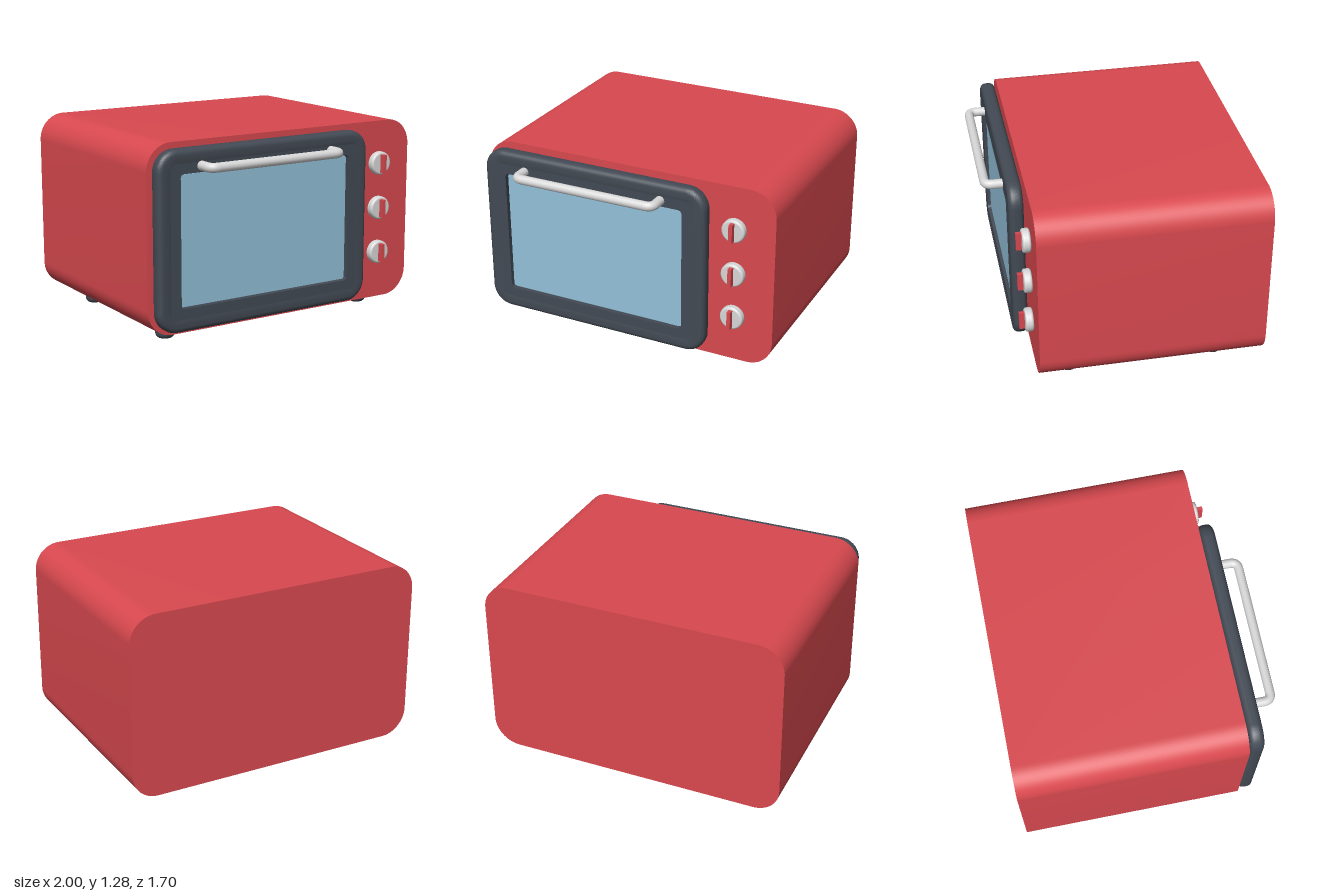
import * as THREE from 'three';
import { toCreasedNormals } from 'three/addons/utils/BufferGeometryUtils.js';

const red = new THREE.MeshStandardMaterial({ name: 'red enamel', color: 0xd9494f });
const dark = new THREE.MeshStandardMaterial({ name: 'dark grey', color: 0x434a54 });
const glass = new THREE.MeshStandardMaterial({ name: 'blue glass', color: 0x93c1da });
const metal = new THREE.MeshStandardMaterial({ name: 'light metal', color: 0xd8d8d8 });

// Rounded rectangle traced into a Shape or Path
function roundRect(path, x0, y0, x1, y1, r) {
  const q = Math.PI / 2;
  path.moveTo(x0 + r, y0);
  path.lineTo(x1 - r, y0);
  path.absarc(x1 - r, y0 + r, r, -q, 0);
  path.lineTo(x1, y1 - r);
  path.absarc(x1 - r, y1 - r, r, 0, q);
  path.lineTo(x0 + r, y1);
  path.absarc(x0 + r, y1 - r, r, q, 2 * q);
  path.lineTo(x0, y0 + r);
  path.absarc(x0 + r, y0 + r, r, 2 * q, 3 * q);
  return path;
}

// Extrusion between z0 and z1, with an optional rounded bevel
function slab(shape, z0, z1, bevel = 0) {
  const geometry = new THREE.ExtrudeGeometry(shape, {
    depth: z1 - z0 - 2 * bevel, curveSegments: 12,
    bevelEnabled: bevel > 0, bevelThickness: bevel, bevelSize: bevel, bevelSegments: 6,
  });
  geometry.translate(0, 0, z0 + bevel);
  return toCreasedNormals(geometry, 0.6);
}

// Short cylinder with rounded rims, standing on y = 0
function roundedDisc(radius, height, r) {
  const points = [new THREE.Vector2(0, 0)];
  for (let i = 0; i <= 6; i++) {
    const a = (i / 6) * Math.PI / 2;
    points.push(new THREE.Vector2(radius - r + r * Math.sin(a), r - r * Math.cos(a)));
  }
  for (let i = 0; i <= 6; i++) {
    const a = (i / 6) * Math.PI / 2;
    points.push(new THREE.Vector2(radius - r + r * Math.cos(a), height - r + r * Math.sin(a)));
  }
  points.push(new THREE.Vector2(0, height));
  return new THREE.LatheGeometry(points, 32);
}

export function createModel() {
  const model = new THREE.Group();
  model.name = 'toasterOven';
  const add = (name, geometry, material, parent = model) => {
    const mesh = new THREE.Mesh(geometry, material);
    mesh.name = name;
    parent.add(mesh);
    return mesh;
  };

  // Housing
  add('housing', slab(roundRect(new THREE.Shape(), -1, 0.085, 1, 1.28, 0.17), -0.85, 0.605), red);

  // Door: rounded outer rim, flat inner frame and recessed window
  const door = new THREE.Group();
  door.name = 'door';
  model.add(door);
  const [x0, y0, x1, y1] = [-0.98, 0.12, 0.58, 1.25];
  const inset = (path, d, r) => roundRect(path, x0 + d, y0 + d, x1 - d, y1 - d, r);
  const rim = inset(new THREE.Shape(), 0.035, 0.1);
  rim.holes.push(inset(new THREE.Path(), 0.08, 0.05));
  add('doorRim', slab(rim, 0.615, 0.71, 0.035), dark, door);
  const frame = inset(new THREE.Shape(), 0.06, 0.07);
  frame.holes.push(roundRect(new THREE.Path(), -0.825, 0.27, 0.425, 1.1, 0.025));
  add('doorFrame', slab(frame, 0.6155, 0.7095), dark, door);
  add('windowBacking', new THREE.BoxGeometry(1.27, 0.85, 0.04), dark, door).position.set(-0.2, 0.685, 0.64);
  add('window', slab(roundRect(new THREE.Shape(), -0.819, 0.276, 0.419, 1.094, 0.02), 0.66, 0.688), glass, door);

  // Handle: bent bar
  const path = new THREE.CurvePath();
  const v = (x, z) => new THREE.Vector3(x, 1.14, z);
  path.add(new THREE.LineCurve3(v(-0.68, 0.69), v(-0.68, 0.77)));
  path.add(new THREE.QuadraticBezierCurve3(v(-0.68, 0.77), v(-0.68, 0.82), v(-0.63, 0.82)));
  path.add(new THREE.LineCurve3(v(-0.63, 0.82), v(0.23, 0.82)));
  path.add(new THREE.QuadraticBezierCurve3(v(0.23, 0.82), v(0.28, 0.82), v(0.28, 0.77)));
  path.add(new THREE.LineCurve3(v(0.28, 0.77), v(0.28, 0.69)));
  add('handle', new THREE.TubeGeometry(path, 160, 0.03, 16), metal, door);

  // Knobs with pointers
  for (const y of [1.0, 0.7, 0.4]) {
    const knob = new THREE.Group();
    knob.name = 'knob';
    knob.position.set(0.74, y + 0.003, 0.607);
    model.add(knob);
    add('knobDial', roundedDisc(0.077, 0.053, 0.015), metal, knob).rotation.x = Math.PI / 2;
    add('knobPointer', new THREE.BoxGeometry(0.024, 0.12, 0.05), red, knob).position.z = 0.063;
  }

  // Feet
  for (const x of [-0.76, 0.76]) {
    for (const z of [0.39, -0.57]) {
      add('foot', roundedDisc(0.062, 0.1, 0.035), dark).position.set(x, 0, z);
    }
  }
  return model;
}
